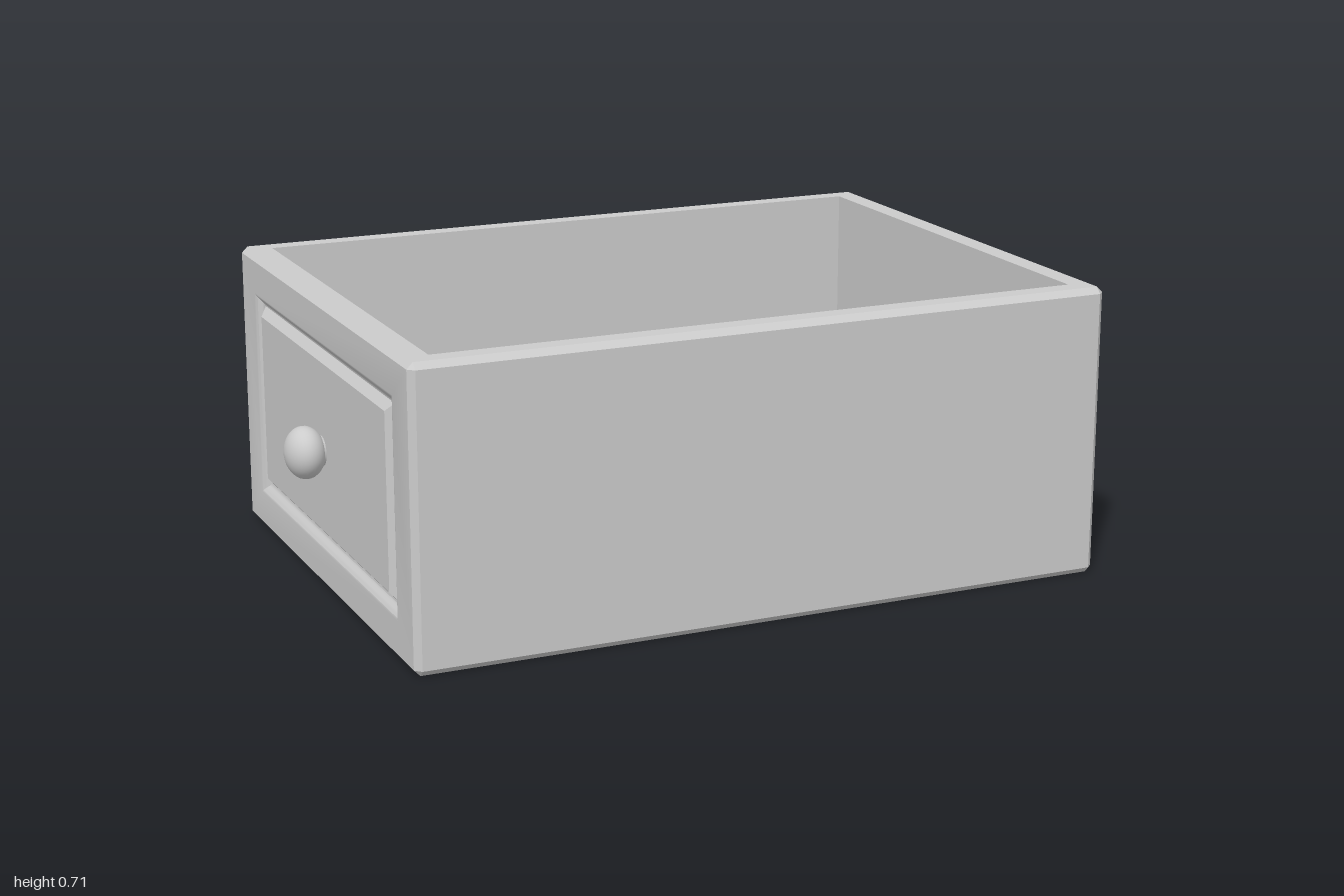
import * as THREE from 'three';
import { toCreasedNormals } from 'three/addons/utils/BufferGeometryUtils.js';

const W = 0.64, D = 0.8675, H = 0.71; // half width, half depth, height
const C = 0.015;                      // edge chamfer

// Joins successive closed rings of points with quads, dropping collapsed triangles
function loft(rings, skip = () => false) {
  const pos = [];
  const tri = (a, b, c) => {
    const n = b.clone().sub(a).cross(c.clone().sub(a));
    if (n.length() > 1e-9) for (const p of [a, b, c]) pos.push(p.x, p.y, p.z);
  };
  for (let r = 0; r < rings.length - 1; r++) {
    const a = rings[r], b = rings[r + 1], n = a.length;
    for (let i = 0; i < n; i++) {
      if (skip(r, i)) continue;
      const j = (i + 1) % n;
      tri(a[i], a[j], b[j]);
      tri(a[i], b[j], b[i]);
    }
  }
  const g = new THREE.BufferGeometry();
  g.setAttribute('position', new THREE.Float32BufferAttribute(pos, 3));
  g.computeVertexNormals();
  return toCreasedNormals(g, 0.6);
}

// Horizontal rectangle with cut corners; its first edge is the front one
function planRing(w, d, y, c = 0) {
  return [[c - w, d], [w - c, d], [w, d - c], [w, c - d], [w - c, -d], [c - w, -d], [-w, c - d], [-w, d - c]]
    .map(([x, z]) => new THREE.Vector3(x, y, z));
}

// Upright rectangle on the front face
function frontRing(w, h, z) {
  return [[-w, -h], [w, -h], [w, h], [-w, h]]
    .map(([x, y]) => new THREE.Vector3(x, H / 2 + y, z));
}

export function createModel() {
  const model = new THREE.Group();
  const drawer = new THREE.Group();
  drawer.name = 'drawer';
  drawer.rotation.y = -Math.PI / 12;
  model.add(drawer);

  const material = new THREE.MeshStandardMaterial({ color: 0xcccccc });
  const add = (name, geometry) => {
    const mesh = new THREE.Mesh(geometry, material);
    mesh.name = name;
    drawer.add(mesh);
    return mesh;
  };

  // Box: underside, chamfered walls, rim, inner walls and floor; front face left open
  const innerW = W - 0.06, innerD = D - 0.066, floorY = 0.054;
  add('box', loft([
    planRing(0, 0, 0),
    planRing(W - C, D - C, 0),
    planRing(W, D, C, C),
    planRing(W, D, H - C, C),
    planRing(W - C, D - C, H),
    planRing(innerW, innerD, H),
    planRing(innerW, innerD, floorY),
    planRing(0, 0, floorY),
  ], (r, i) => r === 2 && i === 0));

  // Front face: flat frame, soft groove, bevelled raised panel
  const rings = [frontRing(W - C, H / 2 - C, D)];
  const steps = 6, depth = 0.018;
  for (let i = 0; i <= steps; i++) {
    const t = i / steps;
    const ease = t * t * (3 - 2 * t);
    rings.push(frontRing(0.525 - 0.034 * t, 0.259 - 0.029 * t, D - depth * ease));
  }
  rings.push(frontRing(0.47, 0.209, D), frontRing(0, 0, D));
  add('frontPanel', loft(rings));

  // Round knob on a short neck
  const profile = [new THREE.Vector2(0.036, -0.01), new THREE.Vector2(0.036, 0.004)];
  for (let i = 0; i <= 14; i++) {
    const a = -0.85 + (Math.PI / 2 + 0.85) * i / 14;
    profile.push(new THREE.Vector2(Math.max(0, 0.063 * Math.cos(a)), 0.042 + 0.048 * Math.sin(a)));
  }
  const knob = add('knob', new THREE.LatheGeometry(profile, 32));
  knob.rotation.x = Math.PI / 2;
  knob.position.set(0, 0.347, D);

  return model;
}
